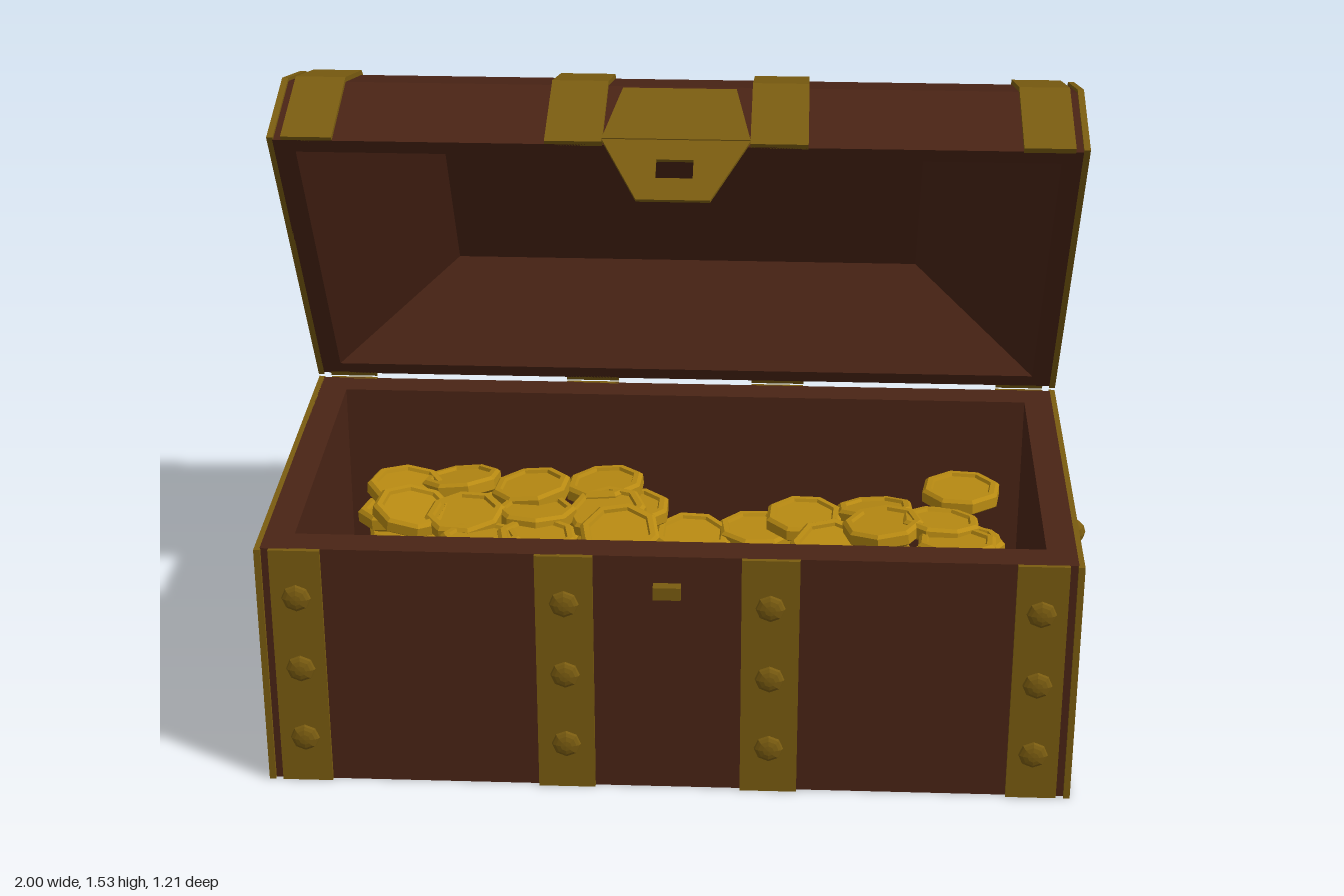
import * as THREE from 'three';

const mat = (color, side = THREE.FrontSide) =>
  new THREE.MeshStandardMaterial({ color, flatShading: true, side });
const wood = mat(0x4a2415);
const woodInner = mat(0x4a2415, THREE.DoubleSide);
const brass = mat(0x7a5c10);
const gold = mat(0xb88a12);

// Chest measures
const BODY_X = 0.945, END_X = 0.958, TOP = 0.625, Z0 = -0.37, Z1 = 0.585;
const MID_Z = (Z0 + Z1) / 2;
const STRAPS = [[-0.865, 0.12], [-0.24, 0.135], [0.24, 0.135], [0.865, 0.12]];

function add(parent, name, geometry, material, x = 0, y = 0, z = 0) {
  const mesh = new THREE.Mesh(geometry, material);
  mesh.name = name;
  mesh.position.set(x, y, z);
  parent.add(mesh);
  return mesh;
}

const poly = (pts) => new THREE.Shape(pts.map(([x, y]) => new THREE.Vector2(x, y)));
const rect = (x0, x1, y0, y1) => poly([[x0, y0], [x1, y0], [x1, y1], [x0, y1]]);
function ring(outer, ...holes) {
  outer.holes.push(...holes);
  return outer;
}
const extrude = (shape, depth) =>
  new THREE.ExtrudeGeometry(shape, { depth, bevelEnabled: false }).translate(0, 0, -depth / 2);
// Extrudes a (z, y) profile along x
const extrudeX = (shape, width) => extrude(shape, width).rotateY(-Math.PI / 2);

// Half of a twelve-sided circle, from front to hinge
const arc = (r, cut = 0) => Array.from({ length: 7 }, (_, i) => {
  const t = i * Math.PI / 6;
  return [r * Math.cos(t), Math.max(cut, r * Math.sin(t))];
});

function makeBase() {
  const base = new THREE.Group();
  base.name = 'base';

  // Walls and floor
  const walls = ring(rect(-BODY_X, BODY_X, -Z1 + 0.01, -Z0 - 0.007), rect(-0.875, 0.875, -0.5, 0.29));
  add(base, 'walls', extrude(walls, TOP).rotateX(-Math.PI / 2), wood, 0, TOP / 2, 0);
  add(base, 'floor', new THREE.BoxGeometry(1.76, 0.12, 0.8), wood, 0, 0.06, 0.105);

  // End frames
  const frame = ring(rect(Z0, Z1, 0, TOP), rect(Z0 + 0.048, Z1 - 0.048, 0.046, TOP - 0.046));
  const frameGeo = extrudeX(frame, 0.015);
  for (const s of [-1, 1]) add(base, 'endFrame', frameGeo, brass, s * (END_X - 0.0075), 0, 0);

  // Straps with rivets, front and back
  const rivet = new THREE.SphereGeometry(0.035, 8, 4, 0, Math.PI * 2, 0, Math.PI / 2)
    .scale(1, 0.4, 1).rotateX(Math.PI / 2);
  for (const [x, w] of STRAPS) {
    for (const [z, s] of [[Z1, 1], [Z0, -1]]) {
      add(base, 'strap', new THREE.BoxGeometry(w, TOP, 0.012), brass, x, TOP / 2, z - s * 0.006);
      for (const y of [0.12, 0.31, 0.5]) {
        add(base, 'rivet', rivet, brass, x, y, z).rotation.y = s > 0 ? 0 : Math.PI;
      }
    }
  }

  // Lock staple
  add(base, 'lockStaple', new THREE.BoxGeometry(0.065, 0.032, 0.03), brass, 0, 0.54, 0.585);

  // Ring handles
  const ringGeo = new THREE.TorusGeometry(0.158, 0.016, 6, 12).rotateY(Math.PI / 2);
  const knob = new THREE.SphereGeometry(0.034, 8, 6);
  for (const s of [-1, 1]) {
    add(base, 'handleRing', ringGeo, brass, s * 0.962, 0.303, MID_Z);
    add(base, 'handleKnob', knob, brass, s * 0.966 + 0.007, 0.465, MID_Z);
  }
  return base;
}

// Tapered hollow inside the lid
function hollowGeometry(hx, hz, depth, scale) {
  const corners = [[-1, -1], [1, -1], [1, 1], [-1, 1]];
  const low = corners.map(([a, b]) => [a * hx, 0, b * hz]);
  const high = corners.map(([a, b]) => [a * hx * scale, depth, b * hz * scale]);
  const pos = [];
  const quad = (a, b, c, d) => pos.push(...a, ...b, ...c, ...a, ...c, ...d);
  for (let i = 0; i < 4; i++) {
    const j = (i + 1) % 4;
    quad(low[i], low[j], high[j], high[i]);
  }
  quad(...high);
  const geo = new THREE.BufferGeometry();
  geo.setAttribute('position', new THREE.Float32BufferAttribute(pos, 3));
  geo.computeVertexNormals();
  return geo;
}

function makeLid() {
  // Local frame: flat side on y = 0, front edge towards +z
  const lid = new THREE.Group();
  lid.name = 'lid';
  lid.position.set(0, 1.05, -0.122);
  lid.rotation.x = -Math.PI / 3;

  const shell = new THREE.CylinderGeometry(0.472, 0.472, BODY_X * 2, 6, 1, false, 0, Math.PI)
    .rotateZ(Math.PI / 2);
  add(lid, 'shell', shell, wood);
  const rim = ring(rect(-BODY_X, BODY_X, -0.472, 0.472), rect(-0.895, 0.895, -0.43, 0.43));
  add(lid, 'rim', new THREE.ShapeGeometry(rim).rotateX(Math.PI / 2), woodInner);
  add(lid, 'hollow', hollowGeometry(0.895, 0.43, 0.245, 0.66), woodInner);

  // End frames and straps
  const frameGeo = extrudeX(ring(poly(arc(0.48)), poly(arc(0.432, 0.04))), 0.015);
  for (const s of [-1, 1]) add(lid, 'lidEndFrame', frameGeo, brass, s * (END_X - 0.0075));
  const band = poly([...arc(0.484), ...arc(0.468).reverse()]);
  for (const [x, w] of STRAPS) add(lid, 'lidStrap', extrudeX(band, w), brass, x);
  return lid;
}

// Hasp: one plate lying on the lid, one hanging past its edge
function makeHasp() {
  const hasp = new THREE.Group();
  hasp.name = 'hasp';
  hasp.position.set(0, 1.474, 0.122);
  const upper = poly([[-0.173, 0], [0.173, 0], [0.135, 0.208], [-0.135, 0.208]]);
  add(hasp, 'haspPlate', extrude(upper, 0.012), brass).rotation.x = -Math.PI * 75 / 180;
  const lower = ring(
    poly([[-0.085, -0.18], [0.085, -0.18], [0.173, 0], [-0.173, 0]]),
    rect(-0.043, 0.043, -0.115, -0.06));
  add(hasp, 'haspFlap', extrude(lower, 0.008), brass).rotation.x = -Math.PI * 61 / 180;
  return hasp;
}

function makeCoins() {
  const coins = new THREE.Group();
  coins.name = 'coins';
  let seed = 7;
  const rnd = () => (seed = (seed * 16807) % 2147483647) / 2147483647 - 0.5;

  // Coin with a raised edge
  const profile = [[0, -0.02], [0.092, -0.02], [0.103, -0.012], [0.103, 0.014], [0.094, 0.022],
    [0.08, 0.022], [0.076, 0.014], [0, 0.014]].map(([x, y]) => new THREE.Vector2(x, y));
  const coinGeo = new THREE.LatheGeometry(profile, 8);

  // Layers heaped towards the back, parted into two mounds at the top
  for (let k = 0; k < 5; k++) {
    const rows = k < 3 ? 4 : 3;
    for (let r = 0; r < rows; r++) {
      for (let c = 0; c < 9; c++) {
        const x = -0.7 + c * 0.175 + rnd() * 0.09;
        const z = -0.17 + r * (0.175 - k * 0.008) + rnd() * 0.07;
        if (k > 2 && (Math.abs(x - 0.08) < 0.16 || rnd() > 0.3)) continue;
        const coin = add(coins, 'coin', coinGeo, gold, x, 0.15 + k * 0.065 + rnd() * 0.02, z);
        coin.rotation.set(rnd() * 0.3, rnd() * 6, rnd() * 0.3);
      }
    }
  }
  return coins;
}

export function createModel() {
  const chest = new THREE.Group();
  chest.name = 'treasureChest';
  const parts = new THREE.Group();
  parts.name = 'chestParts';
  parts.position.x = -0.007;
  parts.add(makeBase(), makeLid(), makeHasp(), makeCoins());
  chest.add(parts);
  return chest;
}
